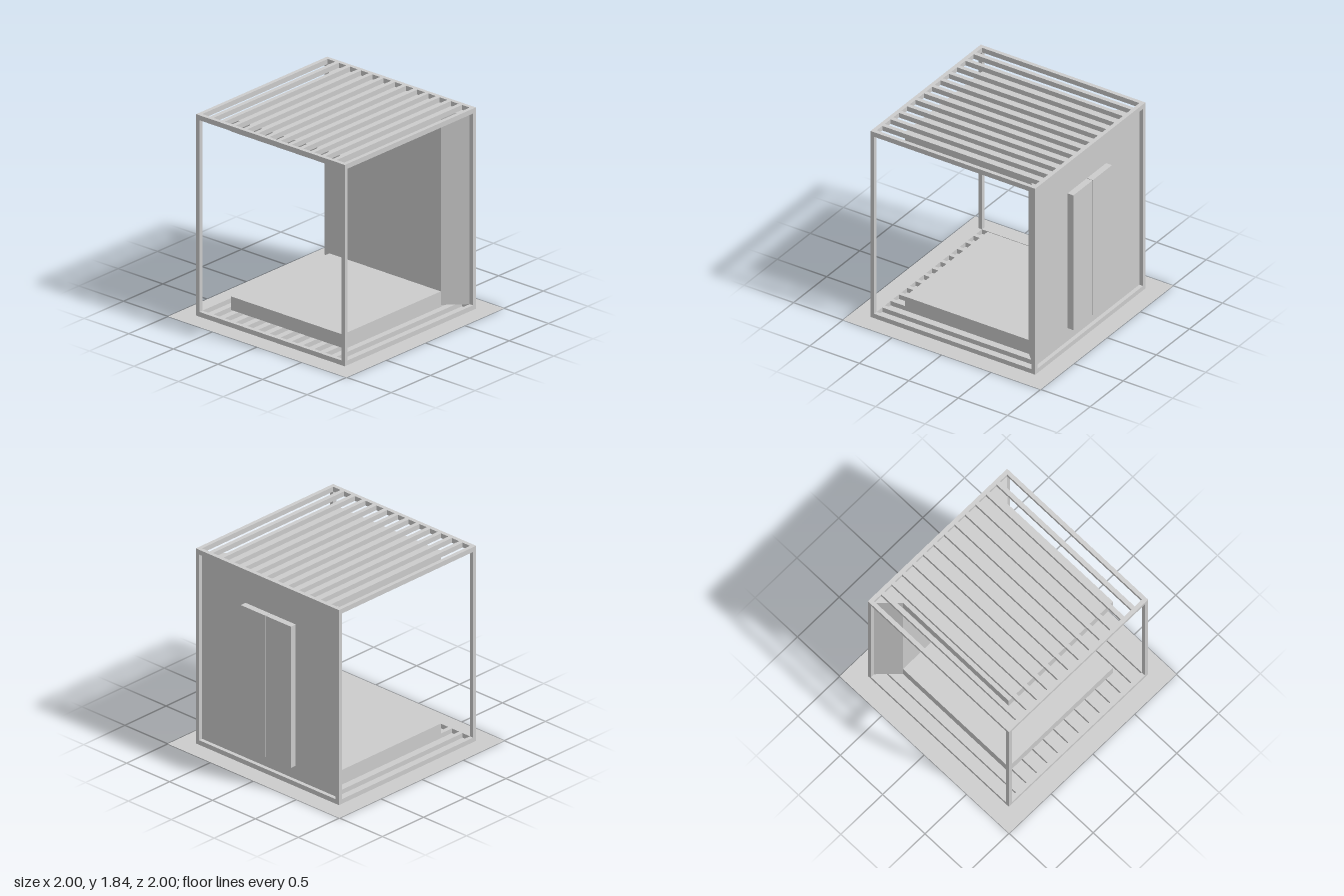
import * as THREE from 'three';

const material = new THREE.MeshStandardMaterial({ color: 0xcccccc, flatShading: true });
const OUT = 0.833;            // outer half width of the frame
const INN = 0.796;            // inner half width of the frame
const CORE = 0.624;           // half width of floor and ceiling slabs
const HEIGHT = 1.838, RIM = 0.045;

function add(parent, name, geometry) {
  const mesh = new THREE.Mesh(geometry, material);
  mesh.name = name;
  parent.add(mesh);
  return mesh;
}

// box given by its minimum and maximum corners
function box(parent, name, [x0, y0, z0], [x1, y1, z1]) {
  const mesh = add(parent, name, new THREE.BoxGeometry(x1 - x0, y1 - y0, z1 - z0));
  mesh.position.set((x0 + x1) / 2, (y0 + y1) / 2, (z0 + z1) / 2);
  return mesh;
}

function loop(points) {
  return points.map(([x, y]) => new THREE.Vector2(x, y));
}

// extrude a plan outline (x, -z) upwards from y0 to y1
function extrudeUp(shape, y0, y1) {
  const geometry = new THREE.ExtrudeGeometry(shape, { depth: y1 - y0, bevelEnabled: false });
  return geometry.rotateX(-Math.PI / 2).translate(0, y0, 0);
}

// square rim with twelve slats, made as a plate with thirteen slots
function slattedPlate() {
  const shape = new THREE.Shape(loop([[-OUT, -OUT], [OUT, -OUT], [OUT, OUT], [-OUT, OUT]]));
  const slots = 13, slat = 0.04;
  const slot = (2 * INN - (slots - 1) * slat) / slots;
  for (let i = 0; i < slots; i++) {
    const a = -INN + i * (slot + slat), b = a + slot;
    shape.holes.push(new THREE.Path(loop([[a, -INN], [a, INN], [b, INN], [b, -INN]])));
  }
  return shape;
}

export function createModel() {
  const model = new THREE.Group();
  model.name = 'slattedPavilion';

  // ground sheet
  const ground = add(model, 'ground', new THREE.PlaneGeometry(2, 2).rotateX(-Math.PI / 2));
  ground.material = material.clone();
  ground.material.side = THREE.DoubleSide;

  // slatted deck and roof
  add(model, 'deck', extrudeUp(slattedPlate(), 0.002, RIM));
  add(model, 'roof', extrudeUp(slattedPlate(), HEIGHT - RIM, HEIGHT));

  // corner posts
  for (const sx of [-1, 1]) {
    for (const sz of [-1, 1]) {
      const w = OUT - INN, c = (OUT + INN) / 2;
      const post = add(model, 'cornerPost', new THREE.BoxGeometry(w, HEIGHT - 2 * RIM, w));
      post.position.set(sx * c, HEIGHT / 2, sz * c);
    }
  }

  // back wall with splayed sides
  const wall = new THREE.Shape(loop([[-CORE, CORE], [CORE, CORE], [INN, INN], [-INN, INN]]));
  add(model, 'backWall', extrudeUp(wall, RIM, HEIGHT - RIM));

  // floor and ceiling slabs
  box(model, 'floorSlab', [-CORE, RIM, -CORE], [CORE, 0.168, CORE]);
  box(model, 'ceilingSlab', [-CORE, 1.672, -CORE], [CORE, HEIGHT - RIM, CORE]);

  // pair of door leaves on the back
  box(model, 'doorLeaf', [-0.294, 0.172, -0.855], [-0.005, 1.502, -INN]);
  box(model, 'doorLeaf', [0.001, 0.172, -0.855], [0.29, 1.502, -INN]);

  return model;
}
